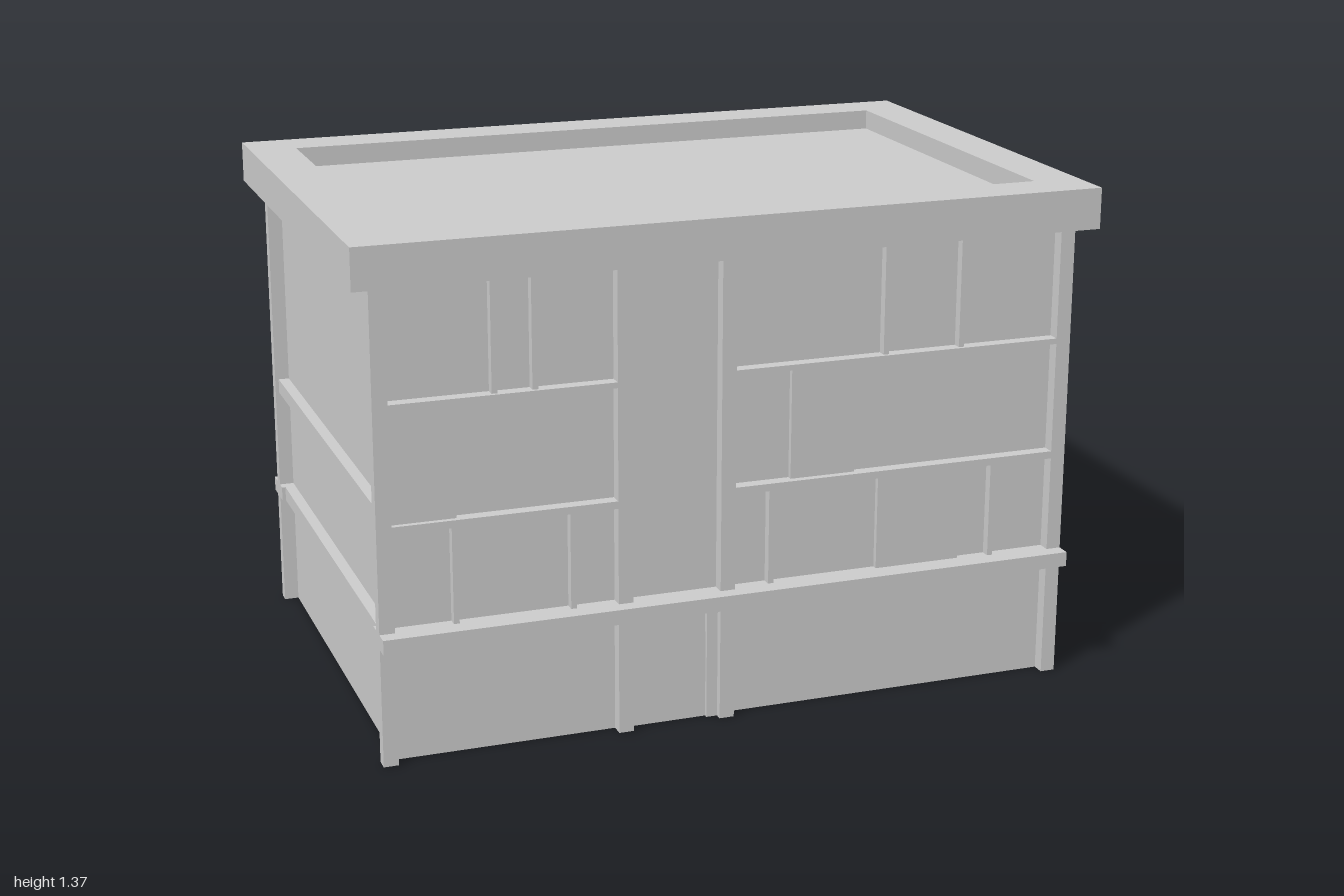
import * as THREE from 'three';

export function createModel() {
  const root = new THREE.Group();
  root.name = 'building';
  const mat = new THREE.MeshStandardMaterial({ color: 0xcccccc, side: THREE.DoubleSide, flatShading: true });

  function add(name, geometry) {
    const mesh = new THREE.Mesh(geometry, mat);
    mesh.name = name;
    root.add(mesh);
    return mesh;
  }
  // Box given by its lower and upper limits on each axis
  function box(name, x0, x1, y0, y1, z0, z1) {
    add(name, new THREE.BoxGeometry(x1 - x0, y1 - y0, z1 - z0))
      .position.set((x0 + x1) / 2, (y0 + y1) / 2, (z0 + z1) / 2);
  }
  // Thin upright panel facing the front or back
  function panel(name, x0, x1, y0, y1, z, turn = 0) {
    const p = add(name, new THREE.PlaneGeometry(x1 - x0, y1 - y0));
    p.position.set((x0 + x1) / 2, (y0 + y1) / 2, z);
    p.rotation.y = turn;
  }

  const W = 0.91, D = 0.6, OX = 0.95, OZ = 0.635, H = 1.255;

  // Outer walls, open at the bottom
  panel('frontWall', -W, W, 0, H, D);
  panel('backWall', -W, W, 0, H, -D, Math.PI);
  for (const s of [-1, 1]) {
    const wall = add('sideWall', new THREE.PlaneGeometry(2 * D, H));
    wall.position.set(s * W, H / 2, 0);
    wall.rotation.y = s * Math.PI / 2;
    // Side floor bands, standing out on both faces of the wall
    for (const y of [0.32, 0.64]) {
      const x = s * (W + OX - 0.08) / 2;
      box('sideBand', x - 0.035, x + 0.055 * (s > 0 ? 1 : 0.6), y, y + 0.04, -D, D);
      if (s < 0) box('sideBandEdge', -OX + 0.01, -W, y, y + 0.04, -D, D);
    }
    // Corner posts
    for (const t of [-1, 1]) {
      const x = s * (W + OX) / 2, z = t * (D + OZ) / 2;
      box('cornerPost', x - 0.02, x + 0.02, 0, H, z - 0.0175, z + 0.0175);
    }
    // Ledge above the ground floor, front and back
    box('ledge', -OX, OX, 0.32, 0.36, s > 0 ? D - 0.03 : -0.675, s > 0 ? 0.675 : -D + 0.03);
  }

  // Stair tower posts and door
  for (const x of [-0.32, -0.04]) box('towerPost', x, x + 0.04, 0, H, D, OZ);
  box('doorJamb', -0.07, -0.04, 0, 0.32, D, D + 0.015);
  panel('door', -0.28, -0.07, 0, 0.24, D + 0.005);

  // Front floor slabs on each side of the tower
  for (const [x0, x1] of [[-W, -0.32], [0, W]])
    for (const [y0, y1] of [[0.62, 0.64], [0.94, 0.955]])
      box('floorSlab', x0, x1, y0, y1, 0.46, OZ);

  // Window fins: left edge, bottom, top
  const lower = [-0.755, -0.445, 0.097, 0.735].map(x => [x, 0.36, 0.62]);
  const upper = [-0.645, -0.54, 0.412, 0.628].map(x => [x, 0.955, H]);
  for (const [x, y0, y1] of [...lower, ...upper])
    box('windowFin', x, x + 0.015, y0, y1, 0.53, 0.625);

  // Raised window panels
  box('raisedPanel', -W, -0.74, 0.64, 0.94, D, D + 0.02);
  box('raisedPanel', 0.16, 0.34, 0.64, 0.94, D, D + 0.015);
  box('raisedPanel', 0.41, 0.65, 0.36, 0.62, D, D + 0.015);

  // Roof slab and raised parapet around the flat roof
  box('roofSlab', -0.88, 0.88, H, 1.31, -0.55, 0.55);
  const rim = new THREE.Shape([[-1, -0.675], [1, -0.675], [1, 0.675], [-1, 0.675]].map(p => new THREE.Vector2(...p)));
  rim.holes.push(new THREE.Path([[-0.872, -0.542], [-0.872, 0.542], [0.872, 0.542], [0.872, -0.542]].map(p => new THREE.Vector2(...p))));
  const parapet = add('parapet', new THREE.ExtrudeGeometry(rim, { depth: 0.11, bevelEnabled: false }));
  parapet.rotation.x = -Math.PI / 2;
  parapet.position.y = H;

  return root;
}
